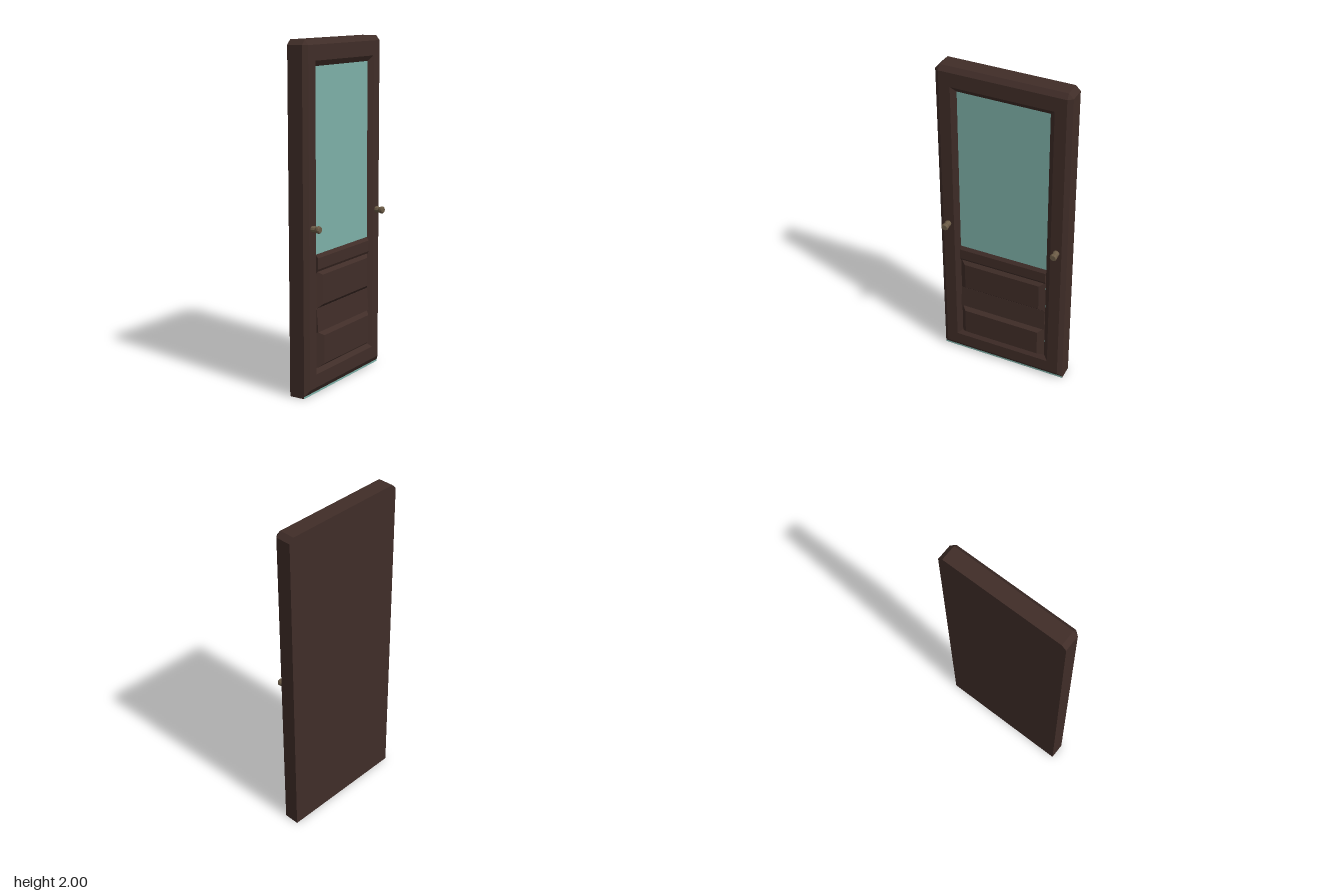
import * as THREE from 'three';

const wood = new THREE.MeshStandardMaterial({ color: 0x402d28, flatShading: true });
const pane = new THREE.MeshStandardMaterial({ color: 0x7db0a8, flatShading: true });
const brass = new THREE.MeshStandardMaterial({ color: 0x6b5b46, flatShading: true });

// Outlines lie in the plane of the door: [-z, y], counter-clockwise from the front.
const rect = (w, y0, y1) => [[-w, y0], [w, y0], [w, y1], [-w, y1]];
const clipped = (w, y0, y1, c) => [
  [-w, y0], [w, y0], [w, y1 - c], [w - c, y1], [-w + c, y1], [-w, y1 - c],
];

// Joins outlines, each { x, pts }, from back to front and caps the ends on request.
function loft(name, material, loops, capBack, capFront) {
  const pos = [];
  const put = (loop, i) => {
    const [u, y] = loop.pts[i % loop.pts.length];
    pos.push(Array.isArray(loop.x) ? loop.x[i % loop.pts.length] : loop.x, y, -u);
  };
  for (let k = 0; k + 1 < loops.length; k++) {
    const a = loops[k], b = loops[k + 1];
    for (let i = 0; i < a.pts.length; i++) {
      put(a, i); put(a, i + 1); put(b, i + 1);
      put(a, i); put(b, i + 1); put(b, i);
    }
  }
  const first = loops[0], last = loops[loops.length - 1];
  for (let i = 1; i + 1 < first.pts.length; i++) {
    if (capBack) { put(first, 0); put(first, i + 1); put(first, i); }
    if (capFront) { put(last, 0); put(last, i); put(last, i + 1); }
  }
  const geo = new THREE.BufferGeometry();
  geo.setAttribute('position', new THREE.Float32BufferAttribute(pos, 3));
  geo.computeVertexNormals();
  const mesh = new THREE.Mesh(geo, material);
  mesh.name = name;
  return mesh;
}

export function createModel() {
  const door = new THREE.Group();
  door.name = 'door';

  // Solid back of the door, closed in front by the glass sheet
  const outline = clipped(0.4, 0, 2, 0.028);
  door.add(loft('doorSlab', wood, [{ x: -0.085, pts: outline }, { x: 0.01, pts: outline }], true, false));
  door.add(loft('glassSheet', pane, [{ x: 0.01, pts: outline }], false, true));

  // Moulded frame: outer bevel, flat face, inner bevel
  door.add(loft('frame', wood, [
    { x: 0.01, pts: clipped(0.4, 0.012, 2, 0.028) },
    { x: 0.032, pts: clipped(0.373, 0.045, 1.972, 0) },
    { x: 0.032, pts: clipped(0.305, 0.122, 1.886, 0) },
    { x: 0.01, pts: clipped(0.275, 0.15, 1.855, 0) },
  ], false, false));

  // Rail under the glass
  door.add(loft('upperRail', wood, [
    { x: 0.01, pts: rect(0.275, 0.7, 0.81) },
    { x: 0.024, pts: rect(0.275, 0.725, 0.79) },
  ], false, true));

  // Rail between the panels, leaning outward toward its foot
  door.add(loft('middleRail', wood, [
    { x: 0.01, pts: rect(0.275, 0.355, 0.5) },
    { x: [0.024, 0.024, 0.014, 0.014], pts: rect(0.275, 0.36, 0.497) },
  ], false, true));

  // Raised panels
  for (const [name, y0, y1, x] of [['upperPanel', 0.495, 0.715, 0.034], ['lowerPanel', 0.147, 0.363, 0.044]]) {
    door.add(loft(name, wood, [
      { x: 0.011, pts: rect(0.275, y0, y1) },
      { x, pts: rect(0.24, y0 + 0.024, y1 - 0.024) },
    ], false, true));
  }

  // Turned knobs on both edges
  const profile = [[0.019, 0.028], [0.019, 0.045], [0.016, 0.056], [0.021, 0.068], [0.021, 0.08], [0.017, 0.085], [0, 0.085]]
    .map(([r, h]) => new THREE.Vector2(r, h));
  const knobGeo = new THREE.LatheGeometry(profile, 10).rotateZ(-Math.PI / 2);
  for (const side of [1, -1]) {
    const knob = new THREE.Mesh(knobGeo, brass);
    knob.name = side > 0 ? 'frontKnob' : 'backKnob';
    knob.position.set(0, 0.97, side * 0.342);
    door.add(knob);
  }
  return door;
}
